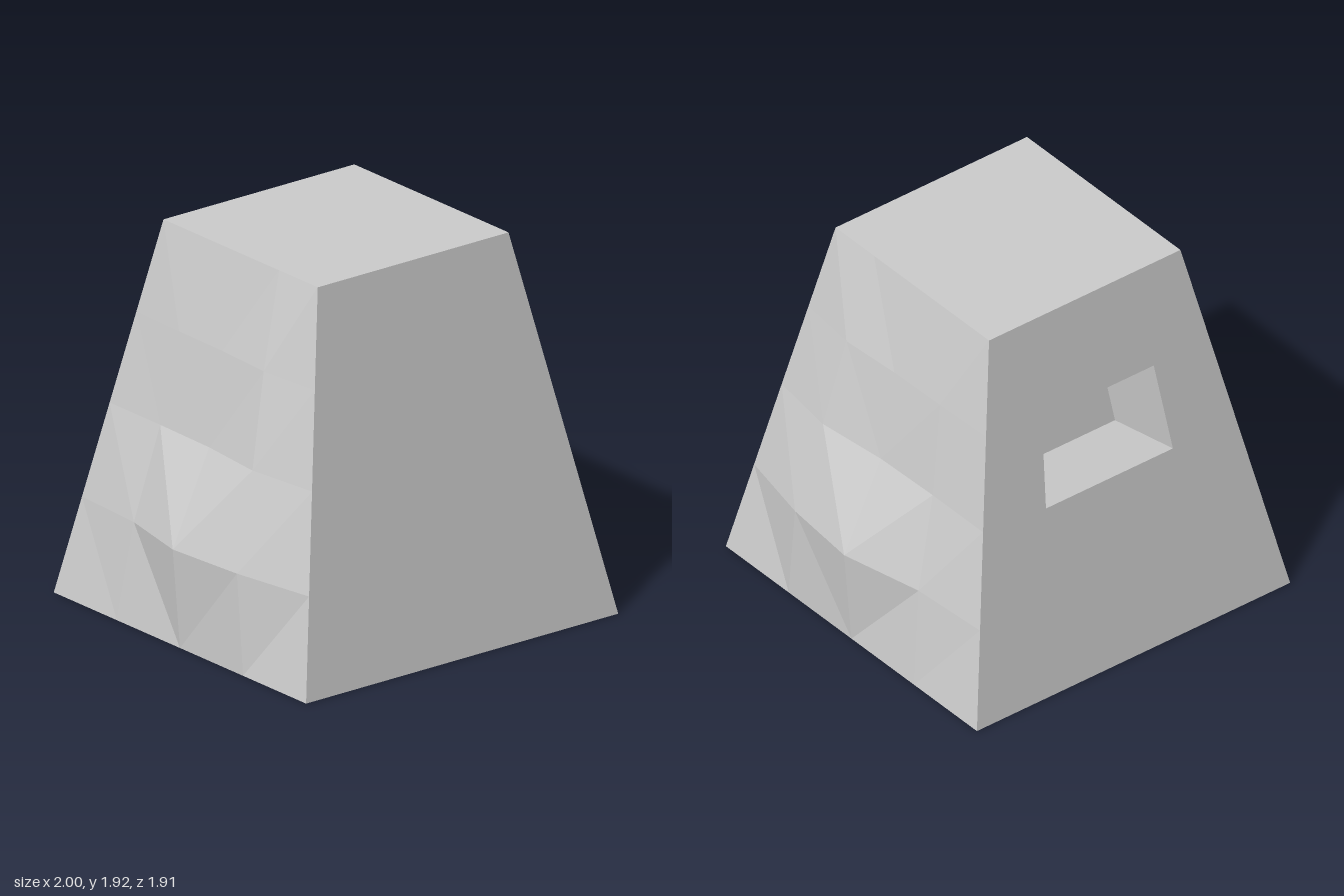
import * as THREE from 'three';

const H = 1.925, BASE = 0.957, TOP = 0.585;
const V = (x, y, z) => new THREE.Vector3(x, y, z);
// half width of the tapered block at height y
const half = (y) => BASE + (TOP - BASE) * (y / H);

// flat-shaded mesh from a list of triangles (counter-clockwise corners)
function meshOf(name, tris) {
  const geometry = new THREE.BufferGeometry().setFromPoints(tris.flat());
  geometry.computeVertexNormals();
  const mesh = new THREE.Mesh(geometry, new THREE.MeshStandardMaterial({ color: 0xcccccc, flatShading: true }));
  mesh.name = name;
  return mesh;
}
const quad = (a, b, c, d) => [[a, b, c], [a, c, d]];

// outward bulge of the inner grid points; rows go up, columns go front to back
const BULGE = [
  [0, 0, 0, 0, 0],
  [0, 0.095, 0.14, 0.03, 0],
  [0, 0.055, 0.01, 0, 0],
  [0, 0.04, 0.018, 0.012, 0],
  [0, 0, 0, 0, 0],
];
const ROW_Y = [0, 0.495, 0.98, 1.45, H];

// rough faceted flank; side is +1 or -1 along x
function flank(side) {
  const p = BULGE.map((row, r) => row.map((b, c) => {
    const y = ROW_Y[r] + b * 0.13, w = half(ROW_Y[r]);
    return V(side * (w + b), y, w * (1 - c / 2));
  }));
  const tris = [];
  for (let r = 0; r < 4; r++) {
    for (let c = 0; c < 4; c++) {
      const a = p[r][c], b = p[r][c + 1], d = p[r + 1][c + 1], e = p[r + 1][c];
      // diagonals meet at the middle column
      if (c < 2) tris.push([a, b, e], [b, d, e]);
      else tris.push([a, b, d], [a, d, e]);
    }
  }
  return side > 0 ? tris : tris.map(([a, b, c]) => [a, c, b]);
}

export function createModel() {
  const group = new THREE.Group();
  group.name = 'taperedBlock';

  // four corners at height y: front left, front right, back right, back left
  const ring = (y, w = half(y)) => [V(w, y, w), V(-w, y, w), V(-w, y, -w), V(w, y, -w)];
  const [bFL, bFR, bBR, bBL] = ring(0);
  const [tFL, tFR, tBR, tBL] = ring(H);

  group.add(meshOf('frontFace', quad(bFR, bFL, tFL, tFR)));
  group.add(meshOf('topFace', quad(tFR, tFL, tBL, tBR)));
  group.add(meshOf('bottomFace', quad(bFR, bBR, bBL, bFL)));
  group.add(meshOf('leftFlank', flank(1)));
  group.add(meshOf('rightFlank', flank(-1)));

  // back face framing a trapezoid opening
  const onBack = (x, y) => V(x, y, -half(y));
  const outer = [bBL, bBR, tBR, tBL];
  const rim = [onBack(0.388, 0.95), onBack(-0.388, 0.95), onBack(-0.342, 1.41), onBack(0.342, 1.41)];
  // recess sunk square to the sloping back face
  const inward = V(0, -(BASE - TOP), H).normalize().multiplyScalar(0.45);
  const deep = rim.map((v) => v.clone().add(inward));
  const frame = [], walls = [];
  for (let i = 0; i < 4; i++) {
    const j = (i + 1) % 4;
    frame.push(...quad(outer[i], outer[j], rim[j], rim[i]));
    walls.push(...quad(rim[i], rim[j], deep[j], deep[i]));
  }
  group.add(meshOf('backFace', frame));
  group.add(meshOf('recessWalls', walls));
  group.add(meshOf('recessEnd', quad(...deep)));
  return group;
}
